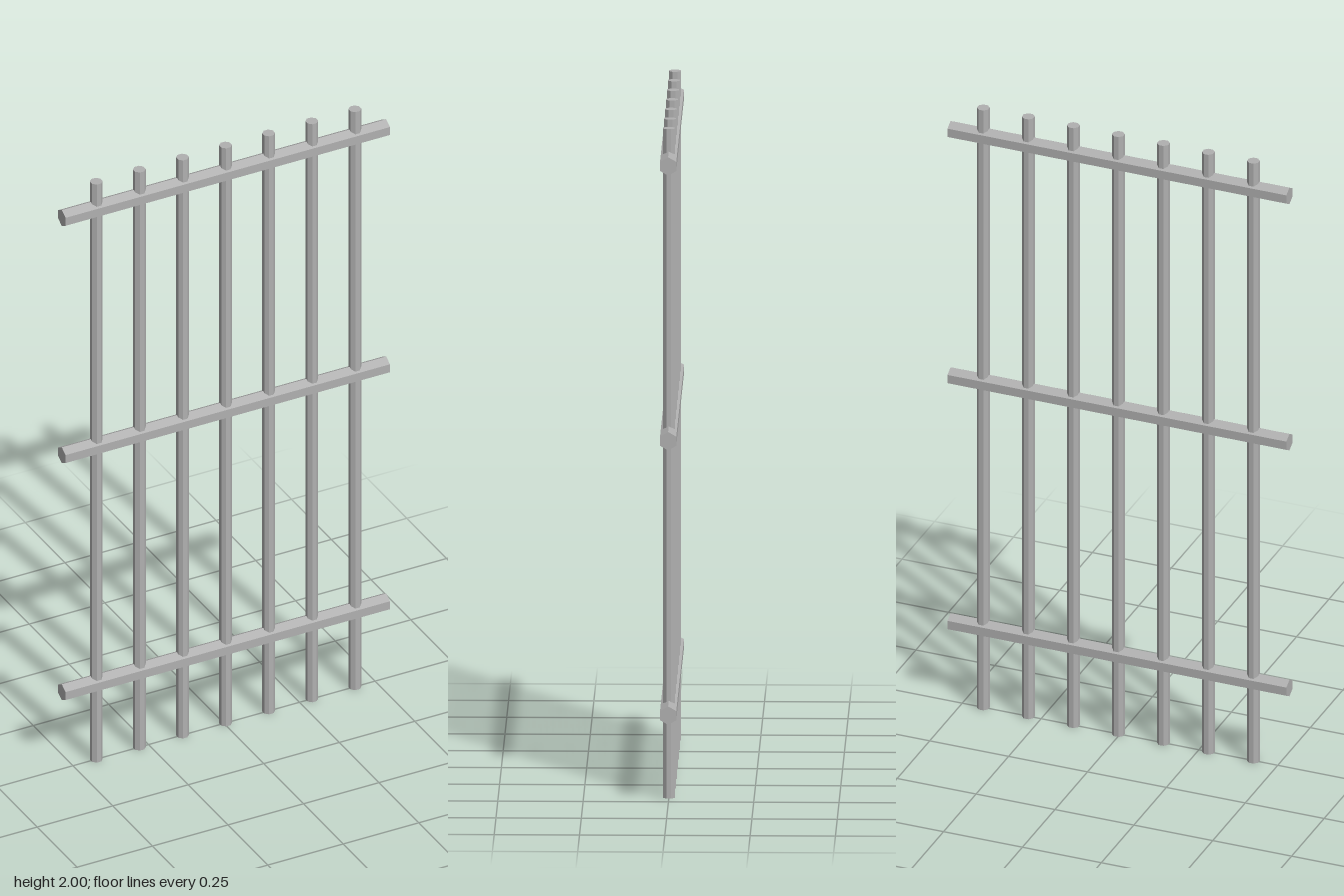
import * as THREE from 'three';

export function createModel() {
  const group = new THREE.Group();
  group.name = 'barGrate';
  const metal = new THREE.MeshStandardMaterial({ color: 0xb0b0b0, flatShading: true });
  metal.name = 'greyMetal';

  // Seven upright bars
  const barGeometry = new THREE.CylinderGeometry(0.019, 0.019, 2, 8);
  barGeometry.rotateY(Math.PI / 8);
  for (let i = 0; i < 7; i++) {
    const bar = new THREE.Mesh(barGeometry, metal);
    bar.name = `uprightBar${i + 1}`;
    bar.position.set(-0.423 + i * 0.1427, 1, 0);
    group.add(bar);
  }

  // Three six-sided cross rails, each with an edge along the top
  const railGeometry = new THREE.CylinderGeometry(0.0275, 0.0275, 1.074, 6);
  railGeometry.rotateY(Math.PI / 6);
  railGeometry.rotateZ(Math.PI / 2);
  [0.265, 1.085, 1.906].forEach((y, i) => {
    const rail = new THREE.Mesh(railGeometry, metal);
    rail.name = `crossRail${i + 1}`;
    rail.position.y = y;
    group.add(rail);
  });

  return group;
}
